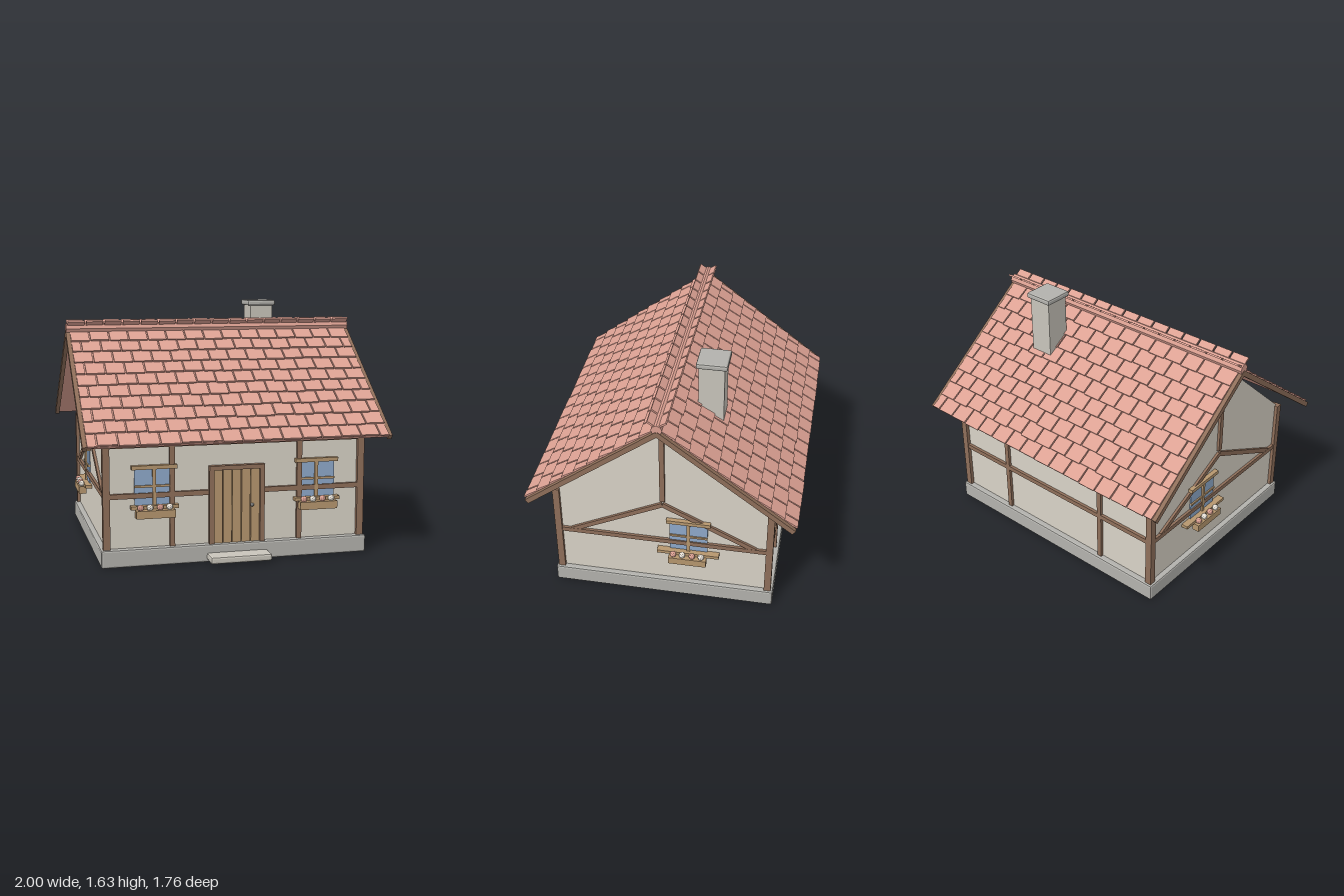
import * as THREE from 'three';
import { mergeGeometries } from 'three/addons/utils/BufferGeometryUtils.js';
import { RoundedBoxGeometry } from 'three/addons/geometries/RoundedBoxGeometry.js';

const material = (name, color) => Object.assign(new THREE.MeshStandardMaterial({ color, flatShading: true }), { name });
const plaster = material('plaster', 0xd9d3c7);
const stone = material('stone', 0xb3b2ad);
const paleStone = material('paleStone', 0xc9c5bb);
const clay = material('clay', 0xdca193);
const timber = material('timber', 0x8f6f5a);
const lightWood = material('lightWood', 0xb7976f);
const glass = material('glass', 0x8faacb);
const petalWhite = material('petalWhite', 0xe6e0d6);
const metal = material('metal', 0x9a9a98);

// seeded jitter in -1..1
let seed = 7;
const jitter = () => {
  seed = (seed * 16807) % 2147483647;
  return (seed / 2147483647) * 2 - 1;
};

function add(parent, name, geometry, mat, x = 0, y = 0, z = 0) {
  const mesh = new THREE.Mesh(geometry, mat);
  mesh.name = name;
  mesh.position.set(x, y, z);
  parent.add(mesh);
  return mesh;
}
const box = (parent, name, mat, w, h, d, x, y, z) =>
  add(parent, name, new THREE.BoxGeometry(w, h, d), mat, x, y, z);
const bevelBox = (parent, name, mat, w, h, d, x, y, z) =>
  add(parent, name, new RoundedBoxGeometry(w, h, d, 1, 0.012), mat, x, y, z);

function group(parent, name) {
  const g = new THREE.Group();
  g.name = name;
  parent.add(g);
  return g;
}

// window unit with its back on the local plane z = 0
function addWindow(parent, name, sillWidth) {
  const g = group(parent, name);
  box(g, 'pane', glass, 0.25, 0.235, 0.009, 0, 0.503, 0.0045);
  box(g, 'mullion', lightWood, 0.022, 0.235, 0.022, 0, 0.503, 0.011);
  box(g, 'glazingBar', lightWood, 0.25, 0.014, 0.018, 0, 0.508, 0.009);
  box(g, 'lintel', lightWood, 0.29, 0.025, 0.03, 0, 0.63, 0.015);
  box(g, 'sill', lightWood, sillWidth, 0.022, 0.045, 0, 0.378, 0.0225);
  box(g, 'flowerBox', lightWood, 0.25, 0.05, 0.05, 0, 0.34, 0.055);
  [-0.095, -0.035, 0.03, 0.09].forEach((x, i) =>
    add(g, 'flower', new THREE.IcosahedronGeometry(0.021, 1), i % 2 ? petalWhite : clay, x, 0.381, 0.058));
  return g;
}

// one roof slope: local +z runs down the slope from the ridge
function addSlope(parent, name, turn) {
  const side = group(parent, name);
  side.rotation.y = turn;
  const slope = group(side, 'slope');
  slope.position.y = 1.43;
  slope.rotation.x = Math.atan2(0.645, 0.85);
  const length = 1.067, rows = 10, columns = 15, pitch = 1.95 / columns;
  box(slope, 'roofDeck', clay, 1.94, 0.016, length, 0, 0.004, length / 2);
  for (const s of [-1, 1])
    box(slope, 'bargeBoard', timber, 0.028, 0.034, length + 0.01, s * 0.984, 0, length / 2);

  // overlapping courses, every second one shifted by half a tile
  const tiles = [];
  for (let r = 0; r < rows; r++) {
    const odd = r % 2;
    for (let c = 0; c < columns + odd; c++) {
      const left = Math.max(-0.975, -0.975 + (c - odd / 2) * pitch);
      const right = Math.min(0.975, -0.975 + (c + 1 - odd / 2) * pitch);
      const tile = new THREE.BoxGeometry(right - left - 0.009, 0.012, 0.116);
      tile.rotateX(-0.1 + jitter() * 0.02);
      tile.translate((left + right) / 2, 0.02, (r + 0.5) * length / rows + 0.004 + jitter() * 0.005);
      tiles.push(tile);
    }
  }
  add(slope, 'roofTiles', mergeGeometries(tiles), clay);

  // upturned ridge tiles
  for (let i = 0; i < 16; i++) {
    const flap = box(side, 'ridgeTile', clay, 0.112, 0.012, 0.06, -0.93 + i * 0.124, 1.493, 0.034);
    flap.rotation.x = -0.6;
  }
}

export function createModel() {
  const house = new THREE.Group();
  house.name = 'cottage';

  // foundation, walls and gable body
  bevelBox(house, 'foundation', stone, 1.755, 0.115, 1.48, 0, 0.0575, 0);
  bevelBox(house, 'doorStep', paleStone, 0.4, 0.045, 0.13, 0, 0.0375, 0.79);
  box(house, 'walls', plaster, 1.68, 0.675, 1.4, 0, 0.4525, 0);
  const gable = new THREE.Shape([[-0.7, 0.79], [0.7, 0.79], [0, 1.425]].map(p => new THREE.Vector2(...p)));
  const gableBody = new THREE.ExtrudeGeometry(gable, { depth: 1.68, bevelEnabled: false });
  gableBody.translate(0, 0, -0.84).rotateY(Math.PI / 2);
  add(house, 'gableBody', gableBody, plaster);

  // timber frame on the long walls
  const frame = group(house, 'timberFrame');
  for (const z of [-1, 1]) {
    for (const x of [-1, 1]) {
      box(frame, 'cornerPost', timber, 0.045, 0.675, 0.045, x * 0.8395, 0.4525, z * 0.7025);
      box(frame, 'wallPost', timber, 0.033, 0.64, 0.03, x * 0.42, 0.435, z * 0.705);
    }
    box(frame, 'topBeam', timber, 1.64, 0.035, 0.03, 0, 0.772, z * 0.705);
  }
  box(frame, 'backRail', timber, 1.64, 0.032, 0.03, 0, 0.45, -0.705);
  for (const s of [-1, 1])
    box(frame, 'frontRail', timber, 0.65, 0.032, 0.03, s * 0.495, 0.45, 0.705);

  // timber frame on the gable ends
  const braceAngle = Math.atan2(0.3, 0.61);
  for (const x of [-1, 1]) {
    box(frame, 'sideRail', timber, 0.03, 0.032, 1.37, x * 0.843, 0.45, 0);
    box(frame, 'kingPost', timber, 0.03, 0.585, 0.033, x * 0.843, 1.08, 0);
    for (const z of [-1, 1]) {
      const brace = box(frame, 'brace', timber, 0.028, 0.032, 0.68, x * 0.843, 0.607, z * 0.305);
      brace.rotation.x = z * braceAngle;
    }
  }

  // door
  const door = group(house, 'door');
  for (const s of [-1, 1])
    box(door, 'doorJamb', timber, 0.03, 0.505, 0.045, s * 0.167, 0.3675, 0.7125);
  box(door, 'doorHead', timber, 0.364, 0.028, 0.048, 0, 0.607, 0.713);
  box(door, 'doorBacking', timber, 0.305, 0.48, 0.01, 0, 0.355, 0.703);
  for (let i = 0; i < 5; i++)
    box(door, 'doorPlank', lightWood, 0.056, 0.475, 0.018, (i - 2) * 0.061, 0.3535, 0.711);
  add(door, 'doorKnob', new THREE.SphereGeometry(0.012, 10, 8), metal, 0.1, 0.357, 0.728);

  // windows: two in front, one on each gable end
  for (const s of [-1, 1]) {
    addWindow(house, 'frontWindow', 0.305).position.set(s * 0.535, 0, 0.7);
    const end = addWindow(house, 'sideWindow', 0.41);
    end.position.set(s * 0.84, 0, -0.17);
    end.rotation.y = s * Math.PI / 2;
  }

  // roof and ridge
  const roof = group(house, 'roof');
  addSlope(roof, 'frontRoof', 0);
  addSlope(roof, 'backRoof', Math.PI);
  const ridge = new THREE.CylinderGeometry(0.035, 0.035, 1.99, 8).rotateZ(Math.PI / 2);
  add(roof, 'ridgeRoll', ridge, clay, 0, 1.458, 0);

  // chimney
  box(house, 'chimney', paleStone, 0.16, 0.47, 0.165, 0.417, 1.365, -0.252);
  bevelBox(house, 'chimneyCap', stone, 0.2, 0.038, 0.2, 0.417, 1.614, -0.254);

  return house;
}
